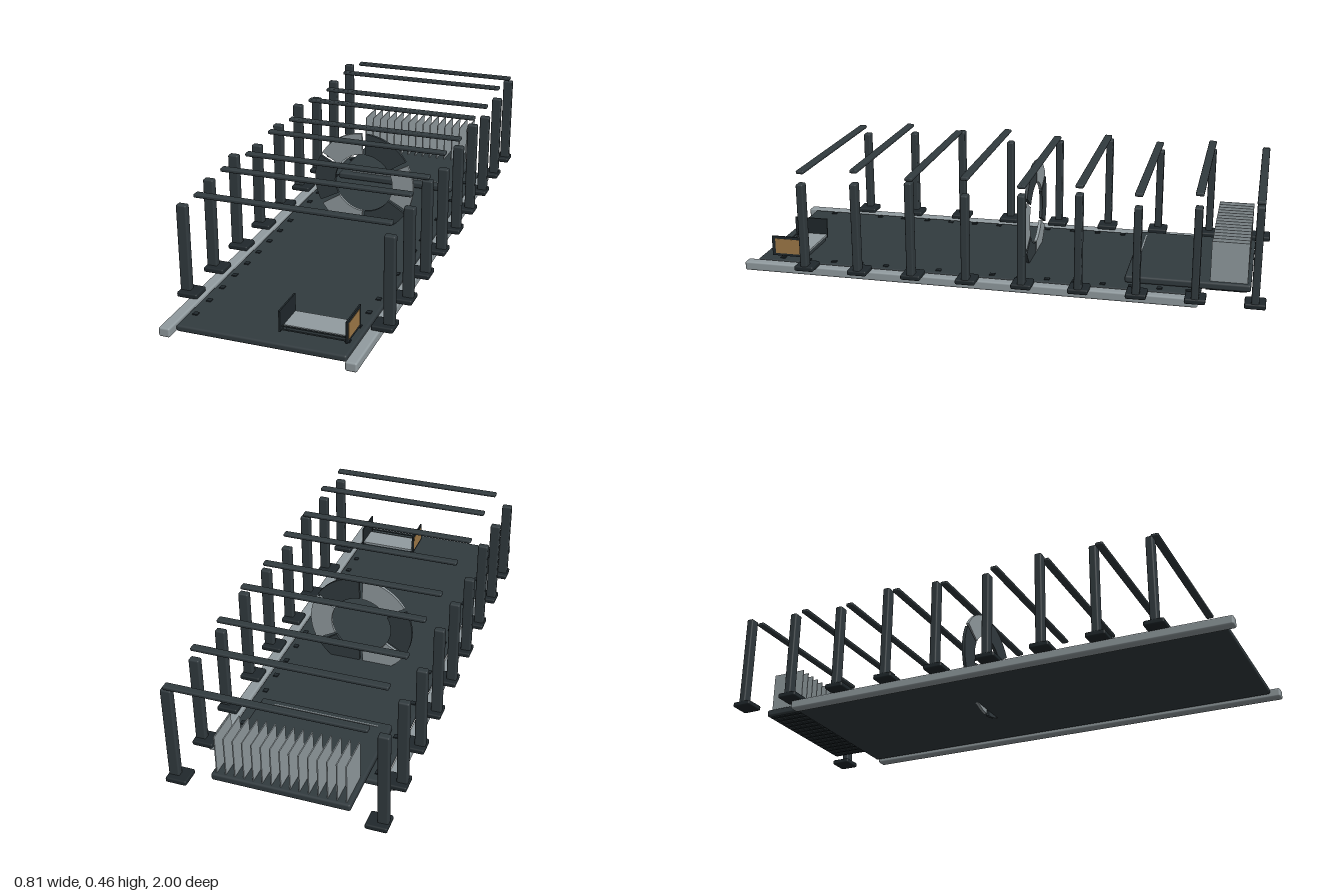
import * as THREE from 'three';
import { RoundedBoxGeometry } from 'three/addons/geometries/RoundedBoxGeometry.js';

const mat = (color) => new THREE.MeshStandardMaterial({ color });

export function createModel() {
  const model = new THREE.Group();
  const dark = mat(0x323b3f), darker = mat(0x20282c), light = mat(0x929ca0), brown = mat(0xa07a48);

  // Box given by its extents, with an optional edge rounding
  function box(name, material, [x0, x1], [y0, y1], [z0, z1], radius = 0, parent = model) {
    const w = x1 - x0, h = y1 - y0, d = z1 - z0;
    const geometry = radius
      ? new RoundedBoxGeometry(w, h, d, 2, radius)
      : new THREE.BoxGeometry(w, h, d);
    const mesh = new THREE.Mesh(geometry, material);
    mesh.position.set((x0 + x1) / 2, (y0 + y1) / 2, (z0 + z1) / 2);
    mesh.name = name;
    parent.add(mesh);
    return mesh;
  }
  function group(name) {
    const g = new THREE.Group();
    g.name = name;
    model.add(g);
    return g;
  }
  const mirrored = (s, a, b) => (s > 0 ? [a, b] : [-b, -a]);

  // Deck and side rails
  box('deck', dark, [-0.31, 0.31], [0.02, 0.044], [-0.765, 0.965], 0.008);
  for (const s of [-1, 1]) {
    box('sideRail', light, mirrored(s, 0.316, 0.358), [0.01, 0.045], [-0.76, 1], 0.007);
  }

  // Rows of fasteners along both deck edges
  const fasteners = group('deckFasteners');
  for (let i = 0; i < 16; i++) {
    const z = -0.72 + i * 0.106;
    for (const s of [-1, 1]) {
      box('fastener', darker, mirrored(s, 0.272, 0.29), [0.042, 0.048], [z - 0.01, z + 0.01], 0, fasteners);
    }
  }

  // Nine frames: foot and post on each side, cross bar floating above
  for (let i = 0; i < 9; i++) {
    const z = 0.737 - i * 0.2126;
    const frame = group('frame');
    const postTop = [0.39, 0.405, 0.424][i % 3];
    for (const s of [-1, 1]) {
      box('foot', darker, mirrored(s, 0.326, 0.405), [0.042, 0.062], [z - 0.038, z + 0.038], 0.006, frame);
      box('post', dark, mirrored(s, 0.362, 0.402), [0.05, postTop], [z - 0.014, z + 0.014], 0.006, frame);
    }
    const barY = i % 2 ? 0.451 : 0.434;
    box('crossBar', dark, [-0.33, 0.39], [barY - 0.007, barY + 0.007], [z - 0.015, z + 0.015], 0.005, frame);
  }

  // Upright ring of six separate segments, alternating in colour
  const ring = group('ring');
  ring.position.set(0, 0.21, -0.091);
  const gap = 0.04;
  for (let i = 0; i < 6; i++) {
    const a0 = Math.PI / 6 + i * Math.PI / 3 + gap;
    const a1 = a0 + Math.PI / 3 - 2 * gap;
    const shape = new THREE.Shape();
    shape.absarc(0, 0, 0.209, a0, a1, false);
    shape.absarc(0, 0, 0.122, a1, a0, true);
    const geometry = new THREE.ExtrudeGeometry(shape, { depth: 0.012, bevelEnabled: false, curveSegments: 16 });
    const segment = new THREE.Mesh(geometry, i % 2 ? light : dark);
    segment.name = 'ringSegment';
    ring.add(segment);
  }

  // Rear platform with upright fins and ribs beneath them
  box('rearPlatform', dark, [-0.257, 0.257], [0.046, 0.074], [-0.945, -0.48], 0.008);
  box('platformEdgeStrip', light, [-0.21, 0.2], [0.07, 0.076], [-0.512, -0.507]);
  const fins = group('fins');
  for (let i = -7; i <= 7; i++) {
    const x = i * 0.0342;
    box('fin', light, [x - 0.002, x + 0.002], [0.07, 0.23], [-0.932, -0.795], 0, fins);
    box('rib', darker, [x - 0.006, x + 0.006], [0.041, 0.05], [-0.93, -0.78], 0, fins);
  }

  // Front tray: light floor, two end plates with coloured outer panels, thin rods
  const tray = group('frontTray');
  box('trayFloor', light, [0.05, 0.29], [0.062, 0.07], [0.775, 0.88], 0, tray);
  for (const [x, s] of [[0.051, -1], [0.289, 1]]) {
    box('trayEndPlate', darker, [x - 0.003, x + 0.003], [0.056, 0.136], [0.773, 0.91], 0, tray);
    const px = x + s * 0.0035;
    box('trayEndPanel', brown, [px - 0.001, px + 0.001], [0.066, 0.126], [0.788, 0.896], 0, tray);
  }
  for (const y of [0.06, 0.073]) {
    box('trayRod', dark, [0.052, 0.288], [y - 0.002, y + 0.002], [0.893, 0.898], 0, tray);
  }
  for (const z of [0.785, 0.87]) {
    box('traySupport', dark, [0.06, 0.28], [0.043, 0.063], [z - 0.005, z + 0.005], 0, tray);
  }

  return model;
}
